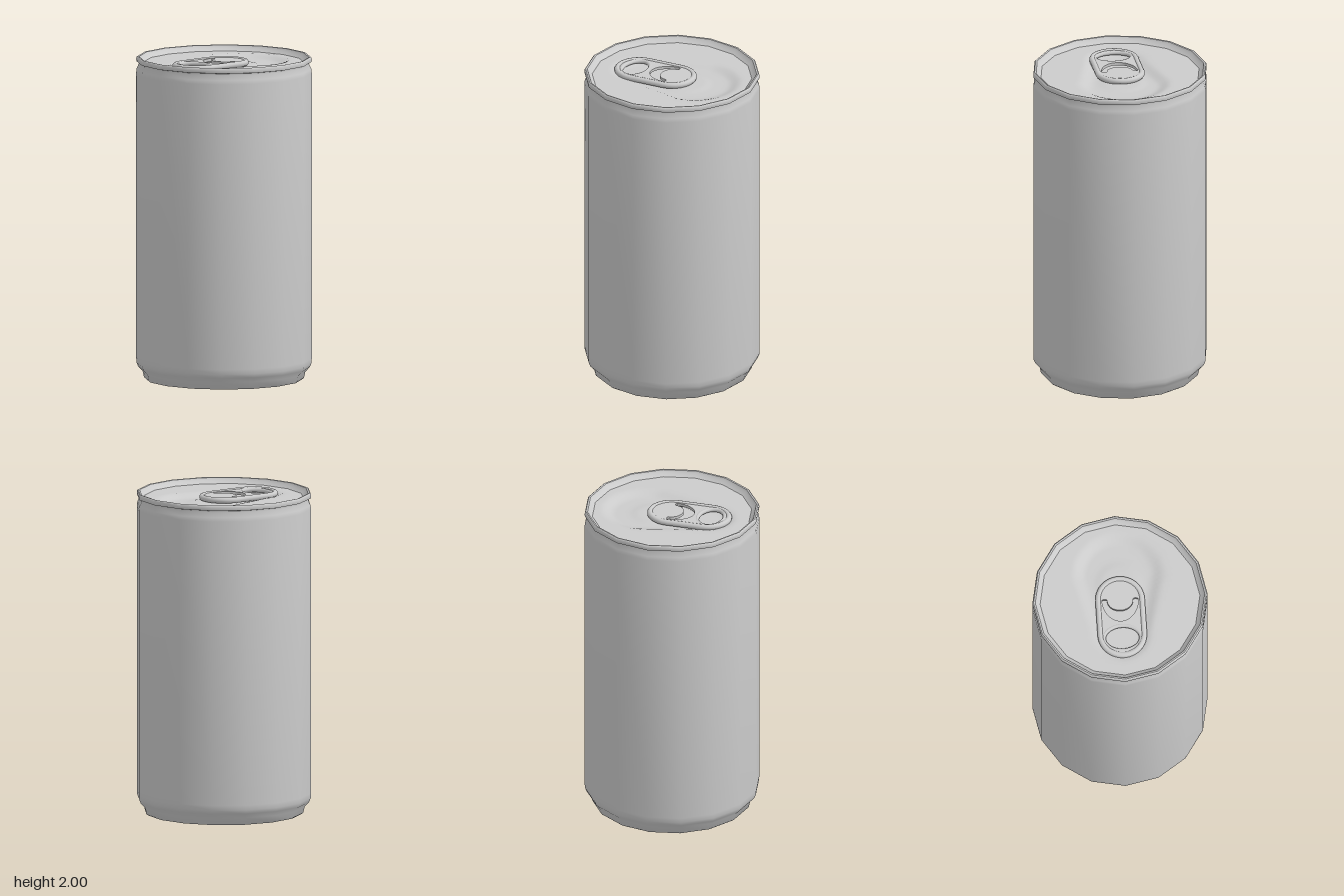
import * as THREE from 'three';
import { mergeVertices, toCreasedNormals } from 'three/addons/utils/BufferGeometryUtils.js';

const SIDES = 16;
const material = new THREE.MeshStandardMaterial({ color: 0xcccccc });

function addMesh(parent, name, geometry) {
  const mesh = new THREE.Mesh(geometry, material);
  mesh.name = name;
  parent.add(mesh);
  return mesh;
}

// Turned shell: recessed base, foot, wall, neck and rolled rim
function shellGeometry() {
  const profile = [
    [0, 0.04], [0.468, 0.04], [0.475, 0.005], [0.483, 0], [0.492, 0.008],
    [0.5, 0.045], [0.528, 0.075], [0.538, 0.1], [0.54, 0.13],
    [0.54, 1.9], [0.537, 1.925], [0.523, 1.955], [0.525, 1.965],
    [0.538, 1.968], [0.54, 1.98], [0.538, 1.995], [0.532, 2], [0.522, 1.998],
    [0.515, 1.985], [0.492, 1.965],
  ].map(([r, y]) => new THREE.Vector2(r, y));
  return toCreasedNormals(new THREE.LatheGeometry(profile, SIDES), 0.8);
}

// Lid height: a tapered dish along the tab axis with a low pouring panel
function lidHeight(x, z) {
  const u = (x - z) * Math.SQRT1_2;
  const v = (x + z) * Math.SQRT1_2;
  const t = THREE.MathUtils.clamp((u + 0.22) / 0.38, 0, 1);
  const edge = Math.hypot(u - (-0.22 + 0.38 * t), v) - (0.15 + 0.1 * t);
  const dish = 1 - THREE.MathUtils.smoothstep(edge, -0.05, 0.04);
  const panel = 1 - THREE.MathUtils.smoothstep(Math.hypot(u - 0.11, v), 0.1, 0.16);
  return 1.965 - 0.025 * dish + 0.006 * panel;
}

function lidGeometry() {
  const ring = new THREE.RingGeometry(0.001, 0.493, SIDES * 4, 24).rotateX(-Math.PI / 2);
  const pos = ring.attributes.position;
  const step = (2 * Math.PI) / SIDES;
  for (let i = 0; i < pos.count; i++) {
    // Pull the circle in to the same polygon as the shell
    const a = Math.atan2(pos.getZ(i), pos.getX(i)) + 2 * Math.PI;
    const k = Math.cos(step / 2) / Math.cos((a % step) - step / 2);
    const x = pos.getX(i) * k, z = pos.getZ(i) * k;
    pos.setXYZ(i, x, lidHeight(x, z), z);
  }
  ring.deleteAttribute('uv');
  ring.deleteAttribute('normal');
  const lid = mergeVertices(ring, 1e-5);
  lid.computeVertexNormals();
  return lid;
}

// Stadium outline of the tab, drawn along x
function stadium(radius) {
  const s = new THREE.Shape();
  s.absarc(0, 0, radius, -Math.PI / 2, Math.PI / 2, false);
  s.absarc(-0.225, 0, radius, Math.PI / 2, Math.PI * 1.5, false);
  s.closePath();
  return s;
}

function fingerHole(grow) {
  return new THREE.Path().absellipse(-0.25, 0, 0.07 + grow, 0.103 + grow, 0, Math.PI * 2, true);
}

// Crescent slot around the fixing tongue
function crescentHole() {
  const p = new THREE.Path();
  p.absellipse(0.0, 0, 0.142, 0.112, Math.PI / 2, Math.PI * 1.5, false);
  p.quadraticCurveTo(0.012, -0.085, -0.005, -0.08);
  p.absellipse(-0.005, 0, 0.066, 0.08, Math.PI * 1.5, Math.PI / 2, true);
  p.quadraticCurveTo(0.012, 0.085, 0, 0.112);
  return p;
}

// Rolled edge following a flat closed outline
function rolledEdge(path, radius, count) {
  const points = path.getSpacedPoints(count).slice(0, -1)
    .map((p) => new THREE.Vector3(p.x, p.y, 0));
  const curve = new THREE.CatmullRomCurve3(points, true);
  return new THREE.TubeGeometry(curve, count * 2, radius, 10, true).rotateX(-Math.PI / 2);
}

function createTab() {
  const tab = new THREE.Group();
  tab.name = 'pullTab';
  const plate = stadium(0.134);
  plate.holes.push(fingerHole(0.01), crescentHole());
  const plateGeometry = new THREE.ExtrudeGeometry(plate, {
    depth: 0.018, bevelEnabled: false, curveSegments: 16,
  }).translate(0, 0, -0.006).rotateX(-Math.PI / 2);
  addMesh(tab, 'tabPlate', plateGeometry);
  addMesh(tab, 'tabRolledEdge', rolledEdge(stadium(0.134), 0.019, 40));
  addMesh(tab, 'fingerHoleEdge', rolledEdge(fingerHole(0.013), 0.014, 24));
  tab.position.y = 1.965;
  tab.rotation.y = Math.PI / 4;
  return tab;
}

export function createModel() {
  const can = new THREE.Group();
  can.name = 'drinkCan';
  addMesh(can, 'canShell', shellGeometry());
  addMesh(can, 'lid', lidGeometry());
  can.add(createTab());
  return can;
}
